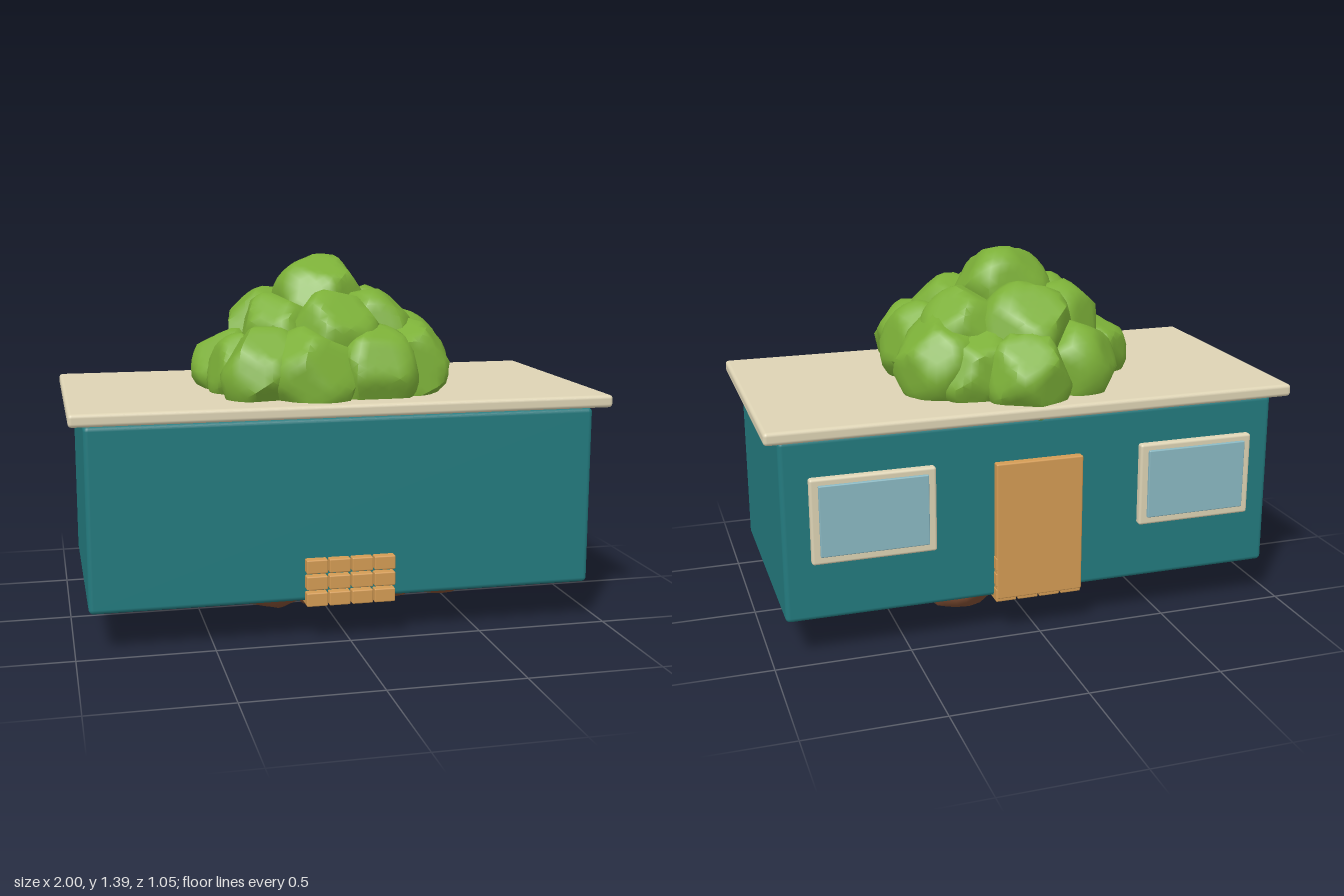
import * as THREE from 'three';
import { toCreasedNormals } from 'three/addons/utils/BufferGeometryUtils.js';
import { RoundedBoxGeometry } from 'three/addons/geometries/RoundedBoxGeometry.js';

const material = (name, color) => {
  const m = new THREE.MeshStandardMaterial({ color });
  m.name = name;
  return m;
};

// Small seeded generator for repeatable lumps
function seeded(seed) {
  let s = seed * 7919 + 17;
  return () => (s = (s * 16807) % 2147483647) / 2147483647;
}

// Sphere cut by random planes: a rounded, chiselled lump
function lump(seed, cuts = 12) {
  const rand = seeded(seed);
  for (let i = 0; i < 5; i++) rand();
  const planes = [];
  for (let i = 0; i < cuts; i++) {
    const y = 1 - (2 * (i + 0.5)) / cuts;
    const a = i * 2.4 + rand() * 0.9 + seed;
    const r = Math.sqrt(1 - y * y);
    planes.push([new THREE.Vector3(Math.cos(a) * r, y, Math.sin(a) * r), 0.8 + rand() * 0.13]);
  }
  const geo = new THREE.IcosahedronGeometry(1, 5);
  const pos = geo.attributes.position;
  const v = new THREE.Vector3();
  for (let i = 0; i < pos.count; i++) {
    v.fromBufferAttribute(pos, i).normalize();
    let radius = 1.04;
    for (const [n, d] of planes) {
      const c = v.dot(n);
      if (c > 0.3) radius = Math.min(radius, d / c);
    }
    v.multiplyScalar(radius);
    pos.setXYZ(i, v.x, v.y, v.z);
  }
  return toCreasedNormals(geo, 0.8);
}

export function createModel() {
  const model = new THREE.Group();
  model.name = 'floatingHouse';

  const teal = material('teal wall', 0x237a7e);
  const cream = material('cream trim', 0xddd3b4);
  const wood = material('wood', 0xd39b54);
  const leaf = material('leaf green', 0x7cb038);
  const earth = material('earth brown', 0x7a4a30);
  const glass = material('pale glass', 0x8ab8c2);

  const add = (parent, name, geo, mat, x, y, z) => {
    const mesh = new THREE.Mesh(geo, mat);
    mesh.name = name;
    mesh.position.set(x, y, z);
    parent.add(mesh);
    return mesh;
  };
  const group = (name) => {
    const g = new THREE.Group();
    g.name = name;
    model.add(g);
    return g;
  };
  const rounded = (w, h, d, r) => new RoundedBoxGeometry(w, h, d, 3, r);

  // House body and roof slab
  add(model, 'walls', rounded(1.894, 0.68, 0.925, 0.018), teal, -0.001, 0.489, 0.002);
  add(model, 'roof', rounded(2, 0.047, 1.04, 0.014), cream, 0, 0.86, 0);

  // Door on the back wall
  add(model, 'door', rounded(0.335, 0.53, 0.035, 0.006), wood, 0, 0.412, -0.475);

  // Windows and underfloor lamps, mirrored left and right
  for (const side of [-1, 1]) {
    const win = group(side > 0 ? 'leftWindow' : 'rightWindow');
    add(win, 'windowFrame', rounded(0.455, 0.32, 0.034, 0.01), cream, side * 0.622, 0.536, -0.483);
    add(win, 'windowPane', rounded(0.395, 0.265, 0.05, 0.004), glass, side * 0.622, 0.54, -0.486);
    add(model, 'underfloorLamp', rounded(0.12, 0.06, 0.14, 0.008), glass, side * 0.62, 0.148, 0.004);
  }

  // Stacked planks running from front to back through the base
  const planks = group('planks');
  const plank = rounded(0.079, 0.052, 0.99, 0.005);
  for (let row = 0; row < 3; row++) {
    for (let col = 0; col < 4; col++) {
      add(planks, 'plank', plank, wood, 0.003 + (col - 1.5) * 0.085, 0.162 + row * 0.062, 0.004);
    }
  }

  // Leafy crown: x, y, z, radius
  const crown = group('crown');
  const leaves = [
    [0.0, 1.19, -0.02, 0.19],
    [-0.04, 1.08, -0.21, 0.19], [0.17, 1.07, -0.13, 0.18], [0.16, 1.07, 0.11, 0.18],
    [0.0, 1.08, 0.2, 0.18], [-0.18, 1.07, 0.1, 0.18], [-0.19, 1.07, -0.1, 0.18],
    [0.01, 0.96, -0.36, 0.165], [-0.2, 0.96, -0.26, 0.17], [-0.335, 0.95, -0.05, 0.165],
    [-0.27, 0.96, 0.25, 0.175], [-0.1, 0.96, 0.31, 0.175], [0.13, 0.96, 0.29, 0.175],
    [0.27, 0.97, 0.23, 0.175], [0.28, 0.99, 0.05, 0.175], [0.285, 0.99, -0.18, 0.175],
    [0.18, 0.97, -0.26, 0.16], [-0.32, 0.95, 0.1, 0.145],
    [0.0, 0.98, 0.0, 0.3],
  ];
  leaves.forEach(([x, y, z, r], i) => {
    add(crown, 'leafClump', lump(i + 1), leaf, x, y, z).scale.set(r, r * 1.05, r);
  });

  // Earth lumps under the floor: x, y, z, half sizes
  const base = group('earthBase');
  const rocks = [
    [0.25, 0.15, -0.18, 0.22, 0.14, 0.2],
    [0.46, 0.15, 0.1, 0.18, 0.11, 0.16],
    [0.2, 0.14, -0.06, 0.2, 0.14, 0.17],
    [0.0, 0.14, 0.08, 0.22, 0.13, 0.2],
    [-0.24, 0.14, 0.14, 0.18, 0.1, 0.17],
    [-0.38, 0.15, -0.06, 0.18, 0.095, 0.14],
    [-0.4, 0.15, -0.21, 0.15, 0.06, 0.12],
    [-0.2, 0.15, -0.08, 0.17, 0.09, 0.12],
    [0.16, 0.14, 0.2, 0.17, 0.09, 0.14],
  ];
  rocks.forEach(([x, y, z, a, b, c], i) => {
    add(base, 'earthLump', lump(i + 41), earth, x, y, z).scale.set(a, b, c);
  });
  // Leaves showing between the lumps
  add(base, 'hiddenLeaves', lump(60), leaf, -0.04, 0.15, -0.12).scale.set(0.11, 0.06, 0.08);

  return model;
}
